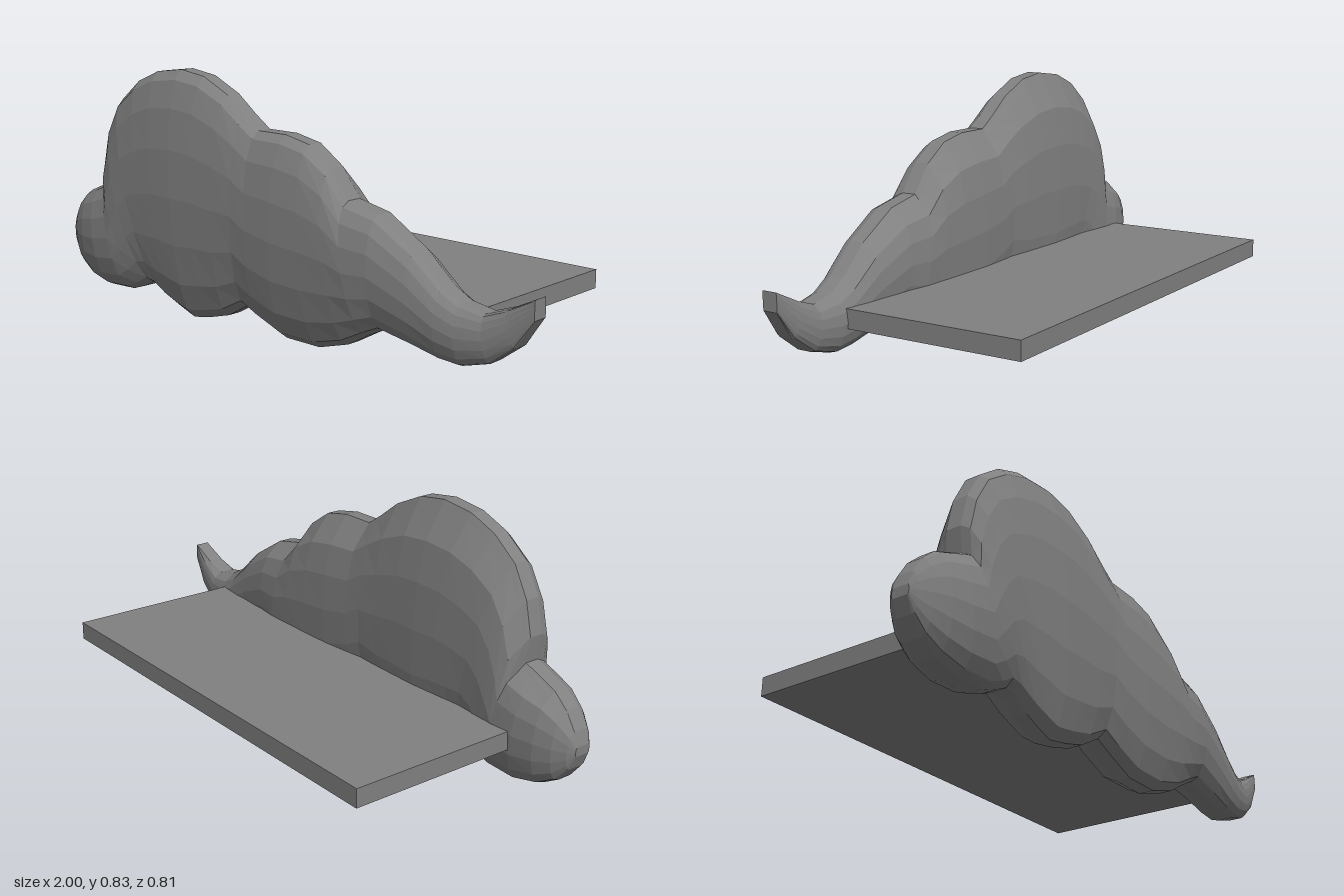
import * as THREE from 'three';

const material = new THREE.MeshStandardMaterial({ color: 0x808080, flatShading: true });

// Cloud stations from left lobe to curled tail: top x, top y, bottom x, bottom y
const STATIONS = [
  [-1, 0.22, -1, 0.19], [-0.985, 0.265, -0.98, 0.14], [-0.95, 0.32, -0.94, 0.09],
  [-0.9, 0.365, -0.88, 0.055], [-0.84, 0.39, -0.79, 0.035], [-0.78, 0.415, -0.68, 0.04],
  [-0.79, 0.5, -0.62, 0.06], [-0.765, 0.61, -0.57, 0.085], [-0.71, 0.71, -0.53, 0.075],
  [-0.62, 0.78, -0.47, 0.04], [-0.52, 0.82, -0.42, 0.02], [-0.4, 0.835, -0.36, 0],
  [-0.29, 0.82, -0.28, 0.015], [-0.18, 0.77, -0.19, 0.04], [-0.1, 0.71, -0.1, 0.09],
  [-0.04, 0.67, -0.03, 0.06], [0.08, 0.67, 0.08, 0.02], [0.18, 0.65, 0.22, 0.02],
  [0.27, 0.59, 0.34, 0.055], [0.34, 0.5, 0.42, 0.1], [0.46, 0.475, 0.48, 0.13],
  [0.6, 0.39, 0.6, 0.11], [0.7, 0.3, 0.7, 0.09], [0.76, 0.265, 0.77, 0.085],
  [0.84, 0.25, 0.86, 0.11], [0.91, 0.275, 0.94, 0.17], [1, 0.32, 1, 0.26],
];

// Relative thickness along x, pinched between the lobes
const DEPTH = [[-1, 0.05], [-0.97, 0.4], [-0.9, 0.72], [-0.8, 0.93], [-0.62, 0.92], [-0.4, 1],
  [-0.1, 0.93], [0.1, 1], [0.4, 0.95], [0.6, 0.72], [0.75, 0.58], [0.9, 0.28], [1, 0.02]];

function depthAt(x) {
  for (let i = 1; i < DEPTH.length; i++) {
    const [x0, d0] = DEPTH[i - 1], [x1, d1] = DEPTH[i];
    if (x <= x1) return THREE.MathUtils.mapLinear(x, x0, x1, d0, d1);
  }
  return DEPTH.at(-1)[1];
}

function cloudGeometry() {
  const half = 8, ring = 2 * (half + 1);
  const positions = [], index = [];
  for (const [tx, ty, bx, by] of STATIONS) {
    const x = (tx + bx) / 2;
    const depth = depthAt(x);
    // The tail drifts slightly backward
    const drift = -0.015 * THREE.MathUtils.smoothstep(x, 0.6, 1);
    for (let j = 0; j < ring; j++) {
      // Down the front, then up the back, with a narrow flat rim between
      const front = j <= half;
      const k = front ? j : ring - 1 - j;
      const angle = Math.PI * (0.5 - k / half);
      const v = Math.sin(angle), bulge = Math.max(0, Math.cos(angle));
      const back = v > 0 ? Math.min(bulge, (1 - v) / 0.42) : bulge ** 0.8;
      const z = front ? 0.32 + 0.085 * depth * bulge : 0.27 - 0.1 * depth * back;
      const t = (v + 1) / 2;
      positions.push(bx + (tx - bx) * t, by + (ty - by) * t, z + drift);
    }
  }
  const last = STATIONS.length - 1;
  for (let i = 0; i < last; i++) {
    for (let j = 0; j < ring; j++) {
      const a = i * ring + j, b = i * ring + (j + 1) % ring;
      index.push(a, b, b + ring, a, b + ring, a + ring);
    }
  }
  // Close both ends
  for (let j = 1; j < ring - 1; j++) {
    index.push(0, j + 1, j);
    index.push(last * ring, last * ring + j, last * ring + j + 1);
  }
  const geometry = new THREE.BufferGeometry();
  geometry.setAttribute('position', new THREE.Float32BufferAttribute(positions, 3));
  geometry.setIndex(index);
  geometry.computeVertexNormals();
  return geometry;
}

export function createModel() {
  const model = new THREE.Group();
  model.name = 'cloudShelf';

  // Puffy cloud front panel
  const cloud = new THREE.Mesh(cloudGeometry(), material);
  cloud.name = 'cloudPanel';
  model.add(cloud);

  // Flat shelf board running back from the cloud
  const board = new THREE.Mesh(new THREE.BoxGeometry(1.555, 0.062, 0.645), material);
  board.name = 'shelfBoard';
  board.position.set(-0.0275, 0.192, -0.0825);
  model.add(board);

  return model;
}
